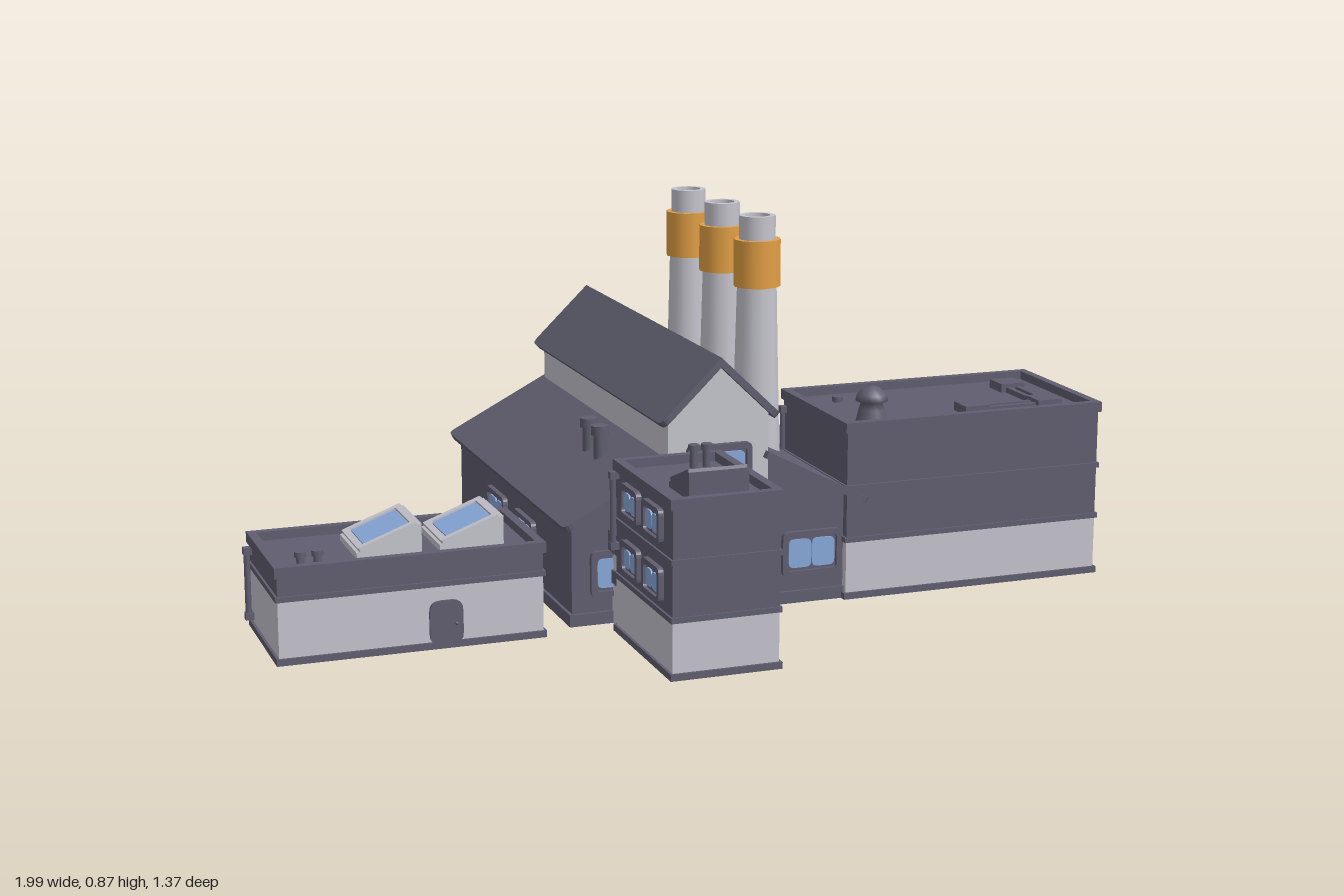
import * as THREE from 'three';

const mat = (name, color) => Object.assign(new THREE.MeshStandardMaterial({ color }), { name });
const dark = mat('slate', 0x605e6f);
const light = mat('paleGrey', 0xc6c5ce);
const orange = mat('orange', 0xe3a044);
const glass = mat('glassBlue', 0x88a8da);
const green = mat('leafGreen', 0x2fa45e);

const FRONT = 0, BACK = Math.PI, LEFT = Math.PI / 2, RIGHT = -Math.PI / 2;

function add(parent, name, geo, m, x = 0, y = 0, z = 0) {
  const mesh = new THREE.Mesh(geo, m);
  mesh.name = name;
  mesh.position.set(x, y, z);
  parent.add(mesh);
  return mesh;
}
function group(parent, name, x = 0, y = 0, z = 0, ry = 0) {
  const g = new THREE.Group();
  g.name = name;
  g.position.set(x, y, z);
  g.rotation.y = ry;
  parent.add(g);
  return g;
}
// Box given by its limits
const slab = (p, name, m, x0, x1, y0, y1, z0, z1) =>
  add(p, name, new THREE.BoxGeometry(x1 - x0, y1 - y0, z1 - z0), m, (x0 + x1) / 2, (y0 + y1) / 2, (z0 + z1) / 2);
const polygon = (pts) => new THREE.Shape(pts.map(([x, y]) => new THREE.Vector2(x, y)));
const extrude = (shape, depth) => new THREE.ExtrudeGeometry(shape, { depth, bevelEnabled: false, curveSegments: 4 });

function roundRect(w, h, r, S = THREE.Shape) {
  const s = new S(), a = w / 2, b = h / 2;
  s.moveTo(-a + r, -b).lineTo(a - r, -b).quadraticCurveTo(a, -b, a, -b + r);
  s.lineTo(a, b - r).quadraticCurveTo(a, b, a - r, b).lineTo(-a + r, b);
  s.quadraticCurveTo(-a, b, -a, b - r).lineTo(-a, -b + r).quadraticCurveTo(-a, -b, -a + r, -b);
  return s;
}
// Raised frame with two rounded panes
function windowUnit(parent, x, y, z, ry, w = 0.145, h = 0.105) {
  const g = group(parent, 'window', x, y, z, ry);
  const ring = roundRect(w, h, 0.015);
  ring.holes.push(roundRect(w - 0.024, h - 0.024, 0.01, THREE.Path));
  add(g, 'windowFrame', extrude(ring, 0.012), dark);
  add(g, 'windowBacking', extrude(roundRect(w - 0.02, h - 0.02, 0.01), 0.004), dark);
  const pw = (w - 0.034) / 2;
  for (const s of [-1, 1])
    add(g, 'windowPane', extrude(roundRect(pw, h - 0.038, 0.013), 0.004), glass, s * (pw / 2 + 0.001), 0, 0.004);
}
// Shutter door with a surround, slot window and handle
function shutterDoor(parent, x, z, ry, w, h, m = orange) {
  const g = group(parent, 'shutterDoor', x, 0.005, z, ry);
  slab(g, 'doorPanel', m, -w / 2, w / 2, 0, h, 0, 0.007);
  for (const s of [-1, 1]) slab(g, 'doorPost', dark, s * w / 2 - 0.006, s * w / 2 + 0.006, 0, h, 0, 0.01);
  slab(g, 'doorLintel', dark, -w / 2 - 0.006, w / 2 + 0.006, h - 0.004, h + 0.008, 0, 0.012);
  if (m === orange) {
    slab(g, 'doorWindow', glass, -w * 0.32, w * 0.32, h * 0.66, h * 0.82, 0.006, 0.01);
    slab(g, 'doorHandle', dark, -w * 0.12, w * 0.12, h * 0.2, h * 0.26, 0.006, 0.011);
  }
}
// Flat-roofed block with plinth, pale lower wall, dark upper wall, trims and parapet
function block(parent, name, x0, x1, z0, z1, band, top, trims) {
  const g = group(parent, name), i = 0.006;
  slab(g, 'plinth', dark, x0, x1, 0, 0.015, z0, z1);
  slab(g, 'lowerWall', light, x0 + i, x1 - i, 0.015, band, z0 + i, z1 - i);
  slab(g, 'upperWall', dark, x0 + i, x1 - i, band, top - 0.02, z0 + i, z1 - i);
  for (const y of trims) slab(g, 'trim', dark, x0 + 0.001, x1 - 0.001, y, y + 0.012, z0 + 0.001, z1 - 0.001);
  const ring = polygon([[x0, -z0], [x0, -z1], [x1, -z1], [x1, -z0]]), t = 0.02;
  ring.holes.push(new THREE.Path([[x0 + t, -z0 - t], [x1 - t, -z0 - t], [x1 - t, -z1 + t], [x0 + t, -z1 + t]].map((p) => new THREE.Vector2(...p))));
  add(g, 'parapet', extrude(ring, 0.024).rotateX(-Math.PI / 2), dark, 0, top - 0.024, 0);
  return g;
}
// Wedge skylight, low at local -x and high at +x
function skylight(parent, x, y, z, ry, w, d, h, m) {
  const g = group(parent, 'skylight', x, y, z, ry), low = 0.014;
  add(g, 'skylightBody', extrude(polygon([[-w / 2, 0], [w / 2, 0], [w / 2, h], [-w / 2, low]]), d), m, 0, 0, -d / 2);
  const tilt = group(g, 'skylightTop', 0, (h + low) / 2, 0);
  tilt.rotation.z = Math.atan2(h - low, w);
  const rim = roundRect(w * 0.98, d, 0.004);
  rim.holes.push(roundRect(w * 0.78, d * 0.8, 0.004, THREE.Path));
  add(tilt, 'skylightRim', extrude(rim, 0.008).rotateX(-Math.PI / 2), m);
  add(tilt, 'skylightGlass', new THREE.BoxGeometry(w * 0.74, 0.006, d * 0.76), glass, 0, 0.002, 0);
}
function ventPipe(parent, x, y, z, h = 0.035) {
  add(parent, 'ventPipe', new THREE.CylinderGeometry(0.009, 0.009, h, 12), dark, x, y + h / 2, z);
  add(parent, 'ventCap', new THREE.CylinderGeometry(0.013, 0.013, 0.012, 12), dark, x, y + h, z);
}
function downspout(parent, x, y0, y1, z) {
  add(parent, 'downspout', new THREE.CylinderGeometry(0.007, 0.007, y1 - y0, 8), dark, x, (y0 + y1) / 2, z);
  for (const y of [y0, y1]) slab(parent, 'downspoutBracket', dark, x - 0.008, x + 0.012, y - 0.008, y + 0.008, z - 0.009, z + 0.009);
}

function buildHall(root) {
  const cx = 0.035, mid = -0.2;
  const hall = group(root, 'mainHall', cx, 0, mid);
  const wallHalf = 0.455, roofHalf = 0.48;
  // Body, plinth and raised clerestory
  add(hall, 'hallWalls', extrude(polygon([[-0.345, 0], [0.345, 0], [0.345, 0.24], [0.12, 0.352], [-0.12, 0.352], [-0.345, 0.24]]), wallHalf * 2), dark, 0, 0, -wallHalf);
  slab(hall, 'hallPlinth', dark, -0.352, 0.352, 0, 0.028, -wallHalf - 0.008, wallHalf + 0.008);
  const c = wallHalf + 0.007;
  add(hall, 'clerestory', extrude(polygon([[-0.12, 0.25], [0.12, 0.25], [0.12, 0.455], [0, 0.57], [-0.12, 0.455]]), c * 2), light, 0, 0, -c);
  // Roof slabs with rounded outer corners
  function roofSlab(name, s, xLow, yLow, xHigh, yHigh) {
    const len = Math.hypot(xHigh - xLow, yHigh - yLow), a = roofHalf, r = 0.02;
    const sh = new THREE.Shape();
    sh.moveTo(0, -a).lineTo(len - r, -a).quadraticCurveTo(len, -a, len, -a + r);
    sh.lineTo(len, a - r).quadraticCurveTo(len, a, len - r, a).lineTo(0, a);
    const pitch = group(hall, name, 0, 0, 0, s > 0 ? 0 : Math.PI);
    const m = add(pitch, 'roofPanel', extrude(sh, 0.016).rotateX(-Math.PI / 2).translate(0, -0.016, 0), dark, xHigh, yHigh, 0);
    m.rotation.z = -Math.atan2(yHigh - yLow, xLow - xHigh);
  }
  for (const s of [-1, 1]) {
    roofSlab('lowerRoof', s, 0.37, 0.235, 0.115, 0.367);
    roofSlab('upperRoof', s, 0.145, 0.452, 0, 0.592);
  }
  // Matching gable ends
  for (const s of [1, -1]) {
    const end = group(hall, 'gableEnd', 0, 0, 0, s > 0 ? FRONT : BACK);
    slab(end, 'gableSill', dark, -0.126, 0.126, 0.236, 0.25, wallHalf, wallHalf + 0.018);
    windowUnit(end, 0, 0.343, c, FRONT, 0.155, 0.1);
    shutterDoor(end, 0, wallHalf + 0.006, FRONT, 0.15, 0.152);
    for (const x of [-0.23, 0.23]) windowUnit(end, x, 0.117, wallHalf, FRONT);
  }
  // Windows along both long sides
  for (const z of [-0.115, 0.115]) {
    windowUnit(hall, 0.345, 0.115, z, LEFT, 0.15, 0.11);
    windowUnit(hall, -0.345, 0.115, z, RIGHT, 0.15, 0.11);
  }
  for (const z of [-0.065, 0.018]) {
    add(root, 'roofVent', new THREE.CylinderGeometry(0.015, 0.015, 0.08, 12), dark, -0.163, 0.34, z);
    add(root, 'roofVentCap', new THREE.CylinderGeometry(0.021, 0.021, 0.022, 12), dark, -0.163, 0.385, z);
  }
  // Three tapered stacks with orange collars
  const lathe = (pts) => new THREE.LatheGeometry(pts.map(([x, y]) => new THREE.Vector2(x, y)), 12);
  for (const z of [0.025, -0.2, -0.43]) {
    const stack = group(root, 'chimney', 0.22, 0, z);
    add(stack, 'chimneyShaft', lathe([[0.058, 0.27], [0.054, 0.4], [0.046, 0.72]]), light);
    add(stack, 'chimneyCollar', lathe([[0.04, 0.7], [0.055, 0.7], [0.055, 0.7], [0.055, 0.81], [0.055, 0.81], [0.038, 0.81]]), orange);
    add(stack, 'chimneyMouth', lathe([[0.043, 0.8], [0.043, 0.865], [0.043, 0.865], [0.03, 0.865], [0.03, 0.865], [0.03, 0.8]]), light);
    add(stack, 'chimneyInside', new THREE.CylinderGeometry(0.031, 0.031, 0.01, 12), dark, 0, 0.808, 0);
  }
}

function buildWarehouse(root) {
  const g = block(root, 'warehouse', 0.34, 0.995, -0.112, 0.28, 0.135, 0.417, [0.135, 0.258]);
  const roof = 0.395;
  // Rear windows and loading doors
  for (const y of [0.203, 0.328])
    for (let i = 0; i < 4; i++) windowUnit(g, 0.462 + i * 0.145, y, -0.106, BACK, 0.125, 0.078);
  for (const x of [0.56, 0.8]) shutterDoor(g, x, -0.106, BACK, 0.11, 0.1, dark);
  // Domed fan
  const dome = [[0.037, 0], [0.03, 0.03], [0.025, 0.045], [0.038, 0.05], [0.034, 0.065], [0.018, 0.08], [0, 0.085]];
  add(g, 'domedVent', new THREE.LatheGeometry(dome.map(([x, y]) => new THREE.Vector2(x, y)), 16), dark, 0.442, roof, 0.19);
  for (const x of [0.445, 0.51]) ventPipe(g, x, roof - 0.005, -0.012, 0.015);
  // Roof ducting
  for (const [x, z] of [[0.7, 0.19], [0.89, 0.19], [0.89, 0]]) slab(g, 'ductBox', dark, x - 0.031, x + 0.031, roof, 0.418, z - 0.031, z + 0.031);
  for (const o of [-0.013, 0.013]) {
    slab(g, 'ductRun', dark, 0.73, 0.86, roof, 0.41, 0.184 + o, 0.196 + o);
    slab(g, 'ductRun', dark, 0.884 + o, 0.896 + o, roof, 0.41, 0.03, 0.16);
  }
  downspout(g, 0.338, 0.2, 0.37, -0.095);
}

function buildOffice(root) {
  const g = block(root, 'officeTower', -0.232, 0.02, 0.312, 0.685, 0.125, 0.392, [0.125, 0.25]);
  skylight(g, -0.105, 0.37, 0.57, RIGHT, 0.12, 0.135, 0.062, dark);
  for (const x of [-0.065, -0.035]) ventPipe(g, x, 0.37, 0.372, 0.048);
  for (const y of [0.19, 0.318])
    for (const z of [0.43, 0.57]) windowUnit(g, -0.226, y, z, RIGHT, 0.11, 0.078);
  downspout(g, -0.238, 0.2, 0.36, 0.33);
  // Link corridor to the hall
  slab(g, 'linkWalls', light, -0.215, 0.002, 0, 0.175, 0.24, 0.32);
  slab(g, 'linkBand', dark, -0.219, 0.006, 0.095, 0.125, 0.24, 0.32);
  slab(g, 'linkRoof', dark, -0.224, 0.012, 0.17, 0.216, 0.24, 0.32);
}

function buildShop(root) {
  const g = block(root, 'workshop', -0.985, -0.385, 0, 0.31, 0.14, 0.217, [0.14]);
  for (const x of [-0.717, -0.532]) skylight(g, x, 0.197, 0.155, 0, 0.145, 0.16, 0.068, light);
  for (const x of [-0.915, -0.878]) ventPipe(g, x, 0.195, 0.247, 0.03);
  // Arched front door
  const arch = roundRect(0.075, 0.1, 0.025);
  add(g, 'archedDoor', extrude(arch, 0.007), dark, -0.612, 0.058, 0.304);
  add(g, 'doorKnob', new THREE.SphereGeometry(0.004, 8, 6), dark, -0.59, 0.055, 0.312);
  // Rear loading doors, glazed entrance and canopy
  for (const x of [-0.755, -0.895]) shutterDoor(g, x, 0.006, BACK, 0.085, 0.085);
  slab(g, 'doorAwning', dark, -0.805, -0.705, 0.105, 0.113, -0.008, 0.01);
  windowUnit(g, -0.46, 0.068, 0.006, BACK, 0.09, 0.115);
  slab(g, 'entranceCanopy', dark, -0.53, -0.385, 0.138, 0.156, -0.045, 0.01);
  for (const x of [-0.52, -0.395]) add(g, 'canopyPost', new THREE.CylinderGeometry(0.004, 0.004, 0.14, 8), dark, x, 0.07, -0.037);
  // Planter with two shrubs
  slab(g, 'planter', dark, -0.678, -0.535, 0, 0.025, -0.054, 0.004);
  slab(g, 'planterRim', orange, -0.668, -0.545, 0.025, 0.029, -0.048, 0.002);
  for (const x of [-0.637, -0.578])
    add(g, 'shrub', new THREE.SphereGeometry(0.028, 12, 10).scale(1, 1.25, 0.85), green, x, 0.056, -0.026);
  downspout(g, -0.99, 0.03, 0.18, 0.028);
}

export function createModel() {
  const root = new THREE.Group();
  root.name = 'factory';
  buildHall(root);
  buildWarehouse(root);
  buildOffice(root);
  buildShop(root);
  return root;
}
